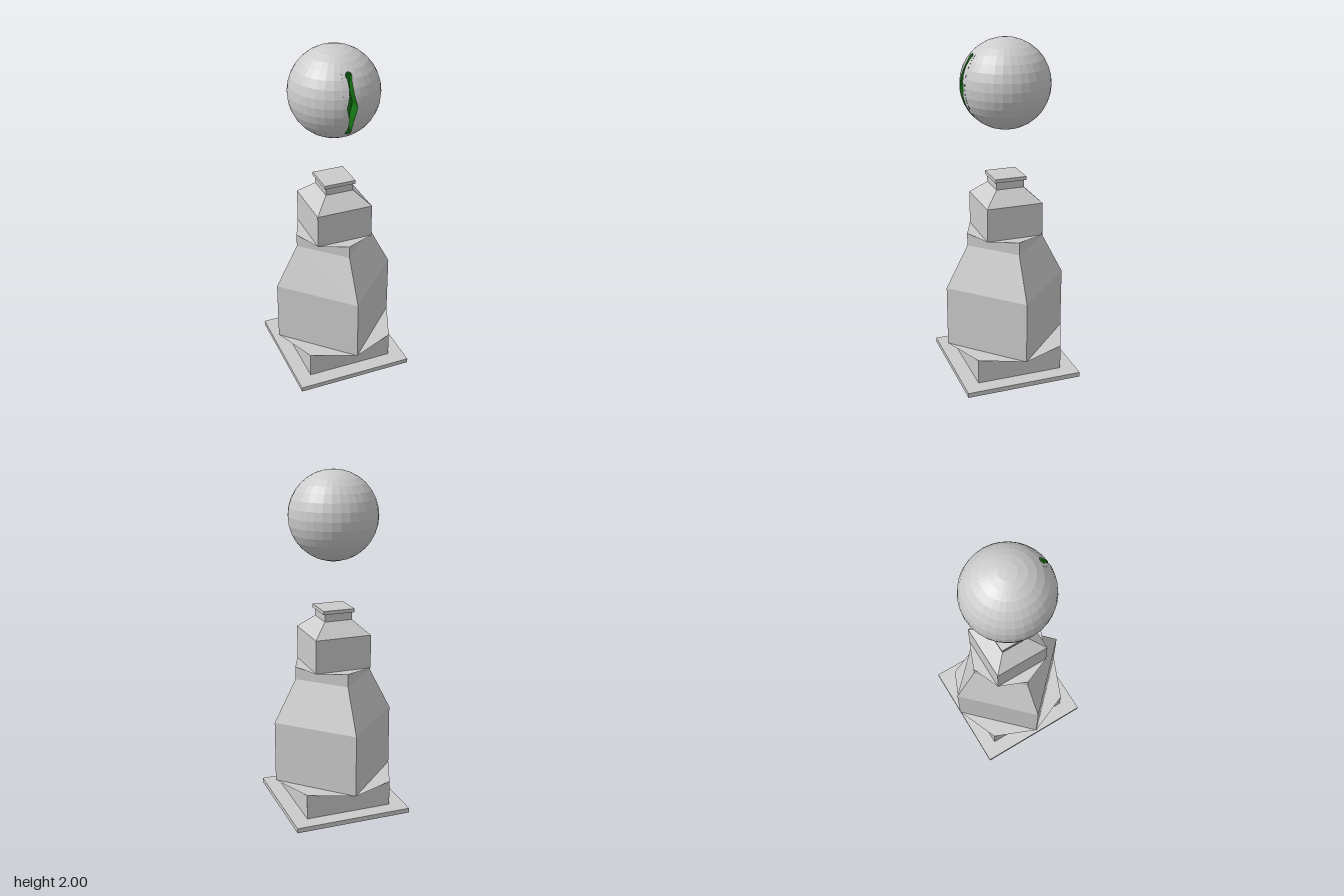
import * as THREE from 'three';

const grey = new THREE.MeshStandardMaterial({ color: 0xcccccc, flatShading: true, side: THREE.DoubleSide });
const greyFront = new THREE.MeshStandardMaterial({ color: 0xcccccc, flatShading: true });
const green = new THREE.MeshStandardMaterial({ color: 0x147314, flatShading: true, side: THREE.DoubleSide });

// Geometry from a list of triangle corners
function triangles(points) {
  const geo = new THREE.BufferGeometry().setFromPoints(points);
  geo.computeVertexNormals();
  return geo;
}

// Quad a-b-c-d as two triangles, skipping collapsed ones
function quad(out, a, b, c, d) {
  for (const t of [[a, b, d], [b, c, d]]) {
    const area = new THREE.Triangle(...t).getArea();
    if (area > 1e-8) out.push(...t);
  }
}

// Skin through square sections [corner radius, height, turn in degrees]
function squareLoft(sections) {
  const corner = ([r, y, turn], i) => {
    const a = THREE.MathUtils.degToRad(turn + i * 90);
    return new THREE.Vector3(r * Math.cos(a), y, -r * Math.sin(a));
  };
  const out = [];
  for (let s = 0; s < sections.length - 1; s++) {
    const lo = sections[s], hi = sections[s + 1];
    for (let i = 0; i < 4; i++) quad(out, corner(lo, i), corner(lo, i + 1), corner(hi, i + 1), corner(hi, i));
  }
  return triangles(out);
}

// Slit profile: [height from the ball's centre, half width], upper half
const SLIT = [[0, 0.03], [0.03, 0.023], [0.065, 0.014], [0.11, 0.011], [0.145, 0.012],
  [0.155, 0.017], [0.168, 0.017], [0.176, 0.008], [0.178, 0]];
const R = 0.257, GAP = Math.PI / 16, FLOOR = 0.183;

function slitWidth(y) {
  const h = Math.abs(y);
  for (let i = 1; i < SLIT.length; i++) {
    const [y0, w0] = SLIT[i - 1], [y1, w1] = SLIT[i];
    if (h <= y1) return w0 + (w1 - w0) * (h - y0) / (y1 - y0);
  }
  return 0;
}

function makeOrb() {
  const orb = new THREE.Group();
  orb.name = 'orb';
  orb.position.y = 1.744;
  const add = (name, geo, mat) => {
    const mesh = new THREE.Mesh(geo, mat);
    mesh.name = name;
    orb.add(mesh);
  };

  // Ball with a narrow front sector left out
  add('ball', new THREE.SphereGeometry(R, 30, 16, Math.PI / 2 + GAP, 2 * Math.PI - 2 * GAP), greyFront);

  // Rows follow the ball's rings and the slit's corners
  const rows = [];
  for (let i = 0; i <= 16; i++) rows.push(R * Math.cos(i * Math.PI / 16));
  for (const [y] of SLIT) if (y) rows.push(y, -y);
  rows.sort((a, b) => a - b);

  // Front sector around the slit, and the slit's side walls
  const front = [], walls = [];
  for (const side of [1, -1]) {
    const at = y => {
      const ring = Math.sqrt(Math.max(0, R * R - y * y)), w = slitWidth(y);
      const z = Math.sqrt(Math.max(0, ring * ring - w * w));
      return {
        rim: new THREE.Vector3(side * w, y, z),
        edge: new THREE.Vector3(side * ring * Math.sin(GAP), y, ring * Math.cos(GAP)),
        deep: new THREE.Vector3(side * w, y, FLOOR),
      };
    };
    for (let i = 0; i < rows.length - 1; i++) {
      const a = at(rows[i]), b = at(rows[i + 1]);
      if (side > 0) quad(front, a.rim, a.edge, b.edge, b.rim);
      else quad(front, a.edge, a.rim, b.rim, b.edge);
      if (Math.max(Math.abs(rows[i]), Math.abs(rows[i + 1])) < 0.1785) quad(walls, a.deep, a.rim, b.rim, b.deep);
    }
  }
  add('ballFront', triangles(front), greyFront);
  add('slitWalls', triangles(walls), green);

  // Flat floor of the slit
  const right = rows.filter(y => Math.abs(y) < 0.1785).map(y => new THREE.Vector2(slitWidth(y), y));
  const left = right.slice(1, -1).reverse().map(p => new THREE.Vector2(-p.x, p.y));
  const floor = new THREE.ShapeGeometry(new THREE.Shape([...right, ...left]));
  floor.translate(0, 0, FLOOR);
  add('slitFloor', floor, green);
  return orb;
}

export function createModel() {
  const model = new THREE.Group();
  model.name = 'orbOnPedestal';
  const q = Math.SQRT2;
  const parts = {
    // Foot plate, plinth and the ledge out to the turned body
    base: [[0, 0, 45], [0.35 * q, 0, 45], [0.35 * q, 0.028, 45], [0.26 * q, 0.028, 45],
      [0.26 * q, 0.178, 45], [0.26 * q, 0.178, 90]],
    // Body turned by an eighth, tapering to a collar
    body: [[0.26 * q, 0.178, 90], [0.26 * q, 0.545, 90], [0.236, 0.8, 90], [0.236, 0.876, 90],
      [0.167 * q, 0.876, 135]],
    // Upper block with sloped shoulders, neck and cap
    upperBlock: [[0.167 * q, 0.876, 135], [0.167 * q, 1.072, 135], [0.083 * q, 1.152, 135], [0.083 * q, 1.197, 135],
      [0.094 * q, 1.197, 135], [0.094 * q, 1.218, 135], [0, 1.218, 135]],
  };
  for (const [name, sections] of Object.entries(parts)) {
    const mesh = new THREE.Mesh(squareLoft(sections), name === 'base' ? greyFront : grey);
    mesh.name = name;
    model.add(mesh);
  }
  model.add(makeOrb());
  return model;
}
